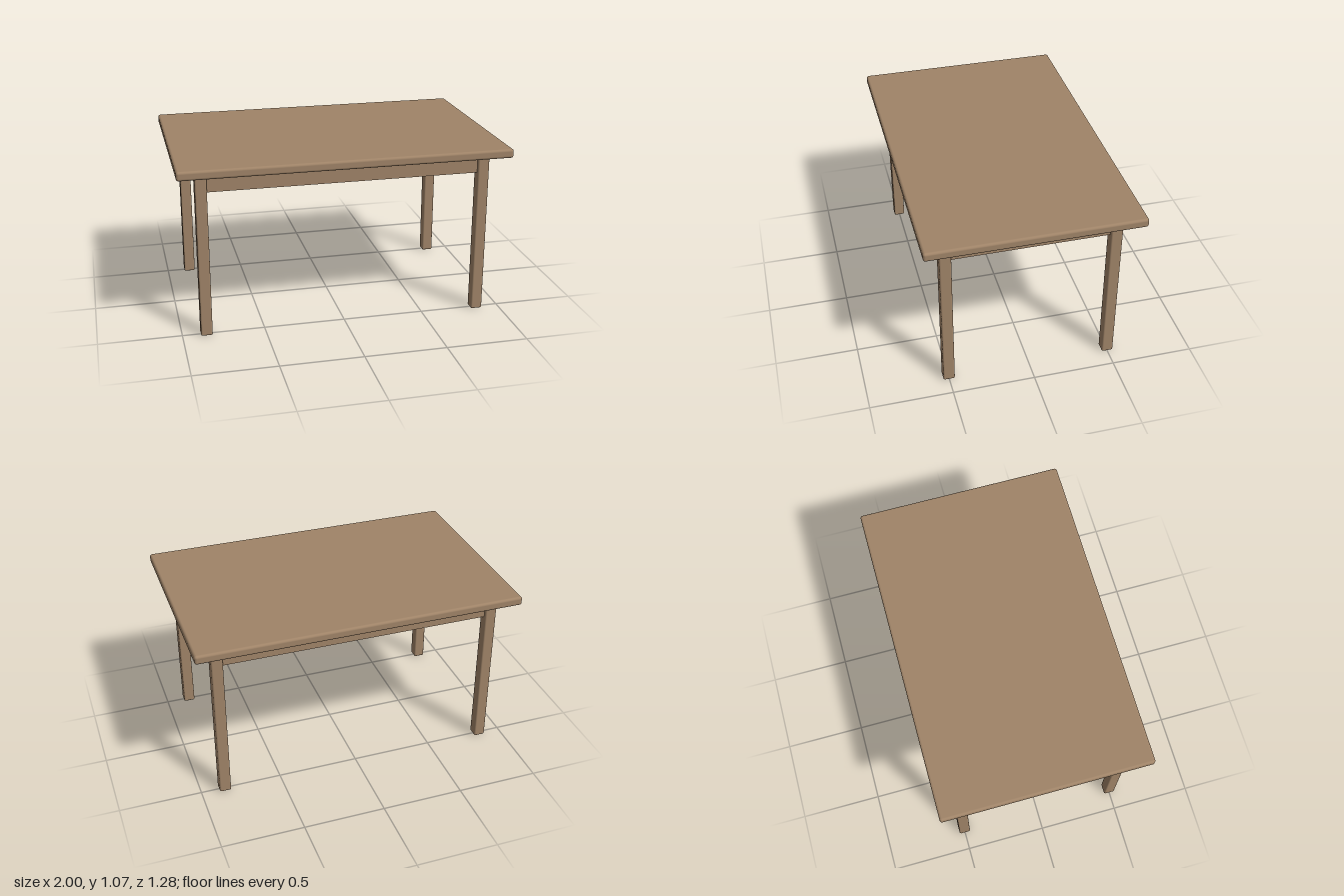
import * as THREE from 'three';
import { RoundedBoxGeometry } from 'three/addons/geometries/RoundedBoxGeometry.js';

export function createModel() {
  const table = new THREE.Group();
  table.name = 'table';
  const wood = new THREE.MeshStandardMaterial({ color: 0xa08468 });

  const add = (name, geometry, x, y, z) => {
    const mesh = new THREE.Mesh(geometry, wood);
    mesh.name = name;
    mesh.position.set(x, y, z);
    table.add(mesh);
  };

  // Tabletop slab with softened edges
  add('tabletop', new RoundedBoxGeometry(2, 0.055, 1.28, 4, 0.015), 0, 1.0455, 0);

  // Solid apron block, slightly inset from the outer leg faces
  add('apron', new THREE.BoxGeometry(1.74, 0.118, 1.03), 0, 0.961, 0);

  // Four square legs with softened edges
  const legGeometry = new RoundedBoxGeometry(0.07, 1.018, 0.07, 4, 0.01);
  for (const [side, x] of [['Left', 0.855], ['Right', -0.855]]) {
    for (const [end, z] of [['front', 0.5], ['back', -0.5]]) {
      add(`${end}${side}Leg`, legGeometry, x, 0.509, z);
    }
  }

  return table;
}
